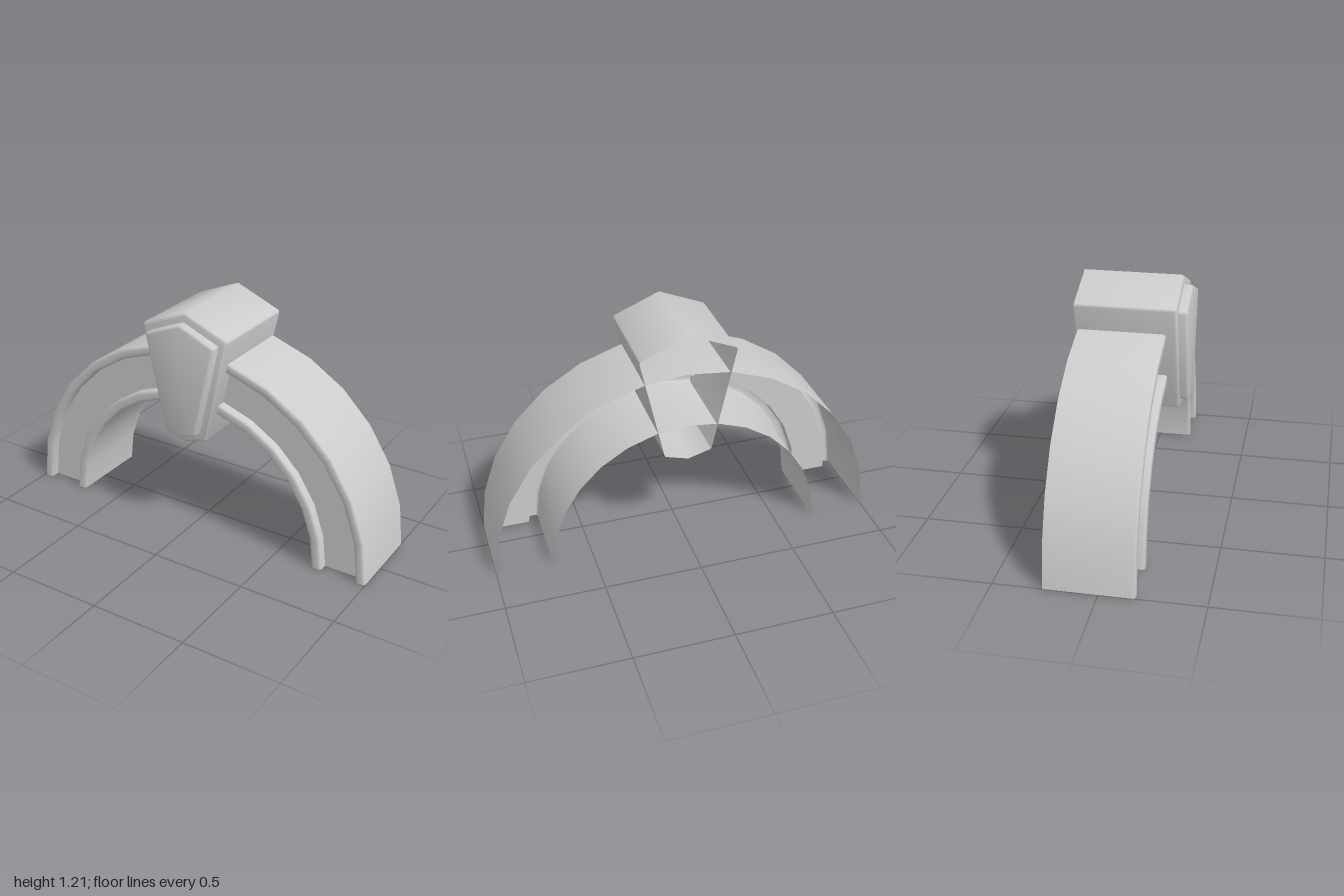
import * as THREE from 'three';
import { toCreasedNormals } from 'three/addons/utils/BufferGeometryUtils.js';

const material = new THREE.MeshStandardMaterial({ color: 0xcccccc, side: THREE.DoubleSide });
const V = (x, y) => new THREE.Vector2(x, y);

function part(name, geometry) {
  const mesh = new THREE.Mesh(toCreasedNormals(geometry, 0.7), material);
  mesh.name = name;
  return mesh;
}

// Quarter-round between two profile points, bulging towards their shared corner
function roundCorner(from, corner, to, steps = 3) {
  const pts = [];
  for (let i = 0; i <= steps; i++) {
    const a = (i / steps) * Math.PI / 2;
    pts.push(V(
      corner.x + (from.x - corner.x) * (1 - Math.sin(a)) + (to.x - corner.x) * (1 - Math.cos(a)),
      corner.y + (from.y - corner.y) * (1 - Math.sin(a)) + (to.y - corner.y) * (1 - Math.cos(a))));
  }
  return pts;
}

// Convex counter-clockwise outline moved inwards by d, with rounded corners
function outlineRing(corners, d, radius, steps = 3) {
  const n = corners.length, ring = [];
  corners.forEach((p, i) => {
    const e1 = p.clone().sub(corners[(i + n - 1) % n]).normalize();
    const e2 = corners[(i + 1) % n].clone().sub(p).normalize();
    const n1 = V(-e1.y, e1.x), n2 = V(-e2.y, e2.x);
    const miter = n1.clone().add(n2).divideScalar(1 + n1.dot(n2));
    const r = Math.max(radius, d);
    const centre = p.clone().addScaledVector(miter, r);
    const a1 = Math.atan2(-n1.y, -n1.x);
    const turn = Math.atan2(e1.cross(e2), e1.dot(e2));
    for (let k = 0; k <= steps; k++) {
      const a = a1 + turn * k / steps;
      ring.push(V(centre.x + (r - d) * Math.cos(a), centre.y + (r - d) * Math.sin(a)));
    }
  });
  return ring;
}

// Block with rounded front edge, flat front and open back
function openBlock(corners, back, front, bevel, radius) {
  const rows = [{ d: 0, z: back }];
  for (let i = 0; i <= 3; i++) {
    const a = (i / 3) * Math.PI / 2;
    rows.push({ d: bevel * (1 - Math.cos(a)), z: front - bevel * (1 - Math.sin(a)) });
  }
  const pos = [], idx = [];
  let n = 0;
  for (const { d, z } of rows) {
    const ring = outlineRing(corners, d, radius);
    n = ring.length;
    ring.forEach(p => pos.push(p.x, p.y, z));
  }
  const cy = corners.reduce((s, p) => s + p.y, 0) / corners.length;
  pos.push(0, cy, front);
  const tip = rows.length * n;
  for (let j = 0; j < n; j++) {
    const k = (j + 1) % n;
    for (let i = 0; i < rows.length - 1; i++) {
      const a = i * n + j, b = i * n + k;
      idx.push(a, b, b + n, a, b + n, a + n);
    }
    idx.push(tip - n + j, tip - n + k, tip);
  }
  const g = new THREE.BufferGeometry();
  g.setAttribute('position', new THREE.Float32BufferAttribute(pos, 3));
  g.setIndex(idx);
  return g;
}

// Five-sided pointed keystone outline, mirrored about x = 0
function keystoneOutline(topY, shoulderX, shoulderY, footX, footY, bottomY) {
  return [V(0, topY), V(-shoulderX, shoulderY), V(-footX, footY),
    V(0, bottomY), V(footX, footY), V(shoulderX, shoulderY)];
}

export function createModel() {
  const group = new THREE.Group();
  group.name = 'archWithKeystone';

  // Half-ring moulding: two raised rims around a recessed face, open at the back
  const back = -0.26, front = 0.172, recess = 0.125, b = 0.014;
  const outer = 1, outerLip = 0.948, innerLip = 0.762, inner = 0.708;
  const profile = [
    V(outer, back),
    ...roundCorner(V(outer, front - b), V(outer, front), V(outer - b, front)),
    ...roundCorner(V(outerLip + b, front), V(outerLip, front), V(outerLip, front - b)),
    V(outerLip, recess),
    V(innerLip, recess),
    ...roundCorner(V(innerLip, front - b), V(innerLip, front), V(innerLip - b, front)),
    ...roundCorner(V(inner + b, front), V(inner, front), V(inner, front - b)),
    V(inner, back),
  ];
  const arch = new THREE.LatheGeometry(profile, 14, Math.PI / 2, Math.PI);
  arch.rotateX(Math.PI / 2);
  group.add(part('arch', arch));

  // Keystone block and the raised plate on its front
  group.add(part('keystone', openBlock(
    keystoneOutline(1.213, 0.244, 1.112, 0.121, 0.556, 0.521), -0.272, 0.227, 0.016, 0.016)));
  group.add(part('keystonePlate', openBlock(
    keystoneOutline(1.165, 0.198, 1.083, 0.09, 0.592, 0.566), 0.215, 0.272, 0.014, 0.014)));

  return group;
}
